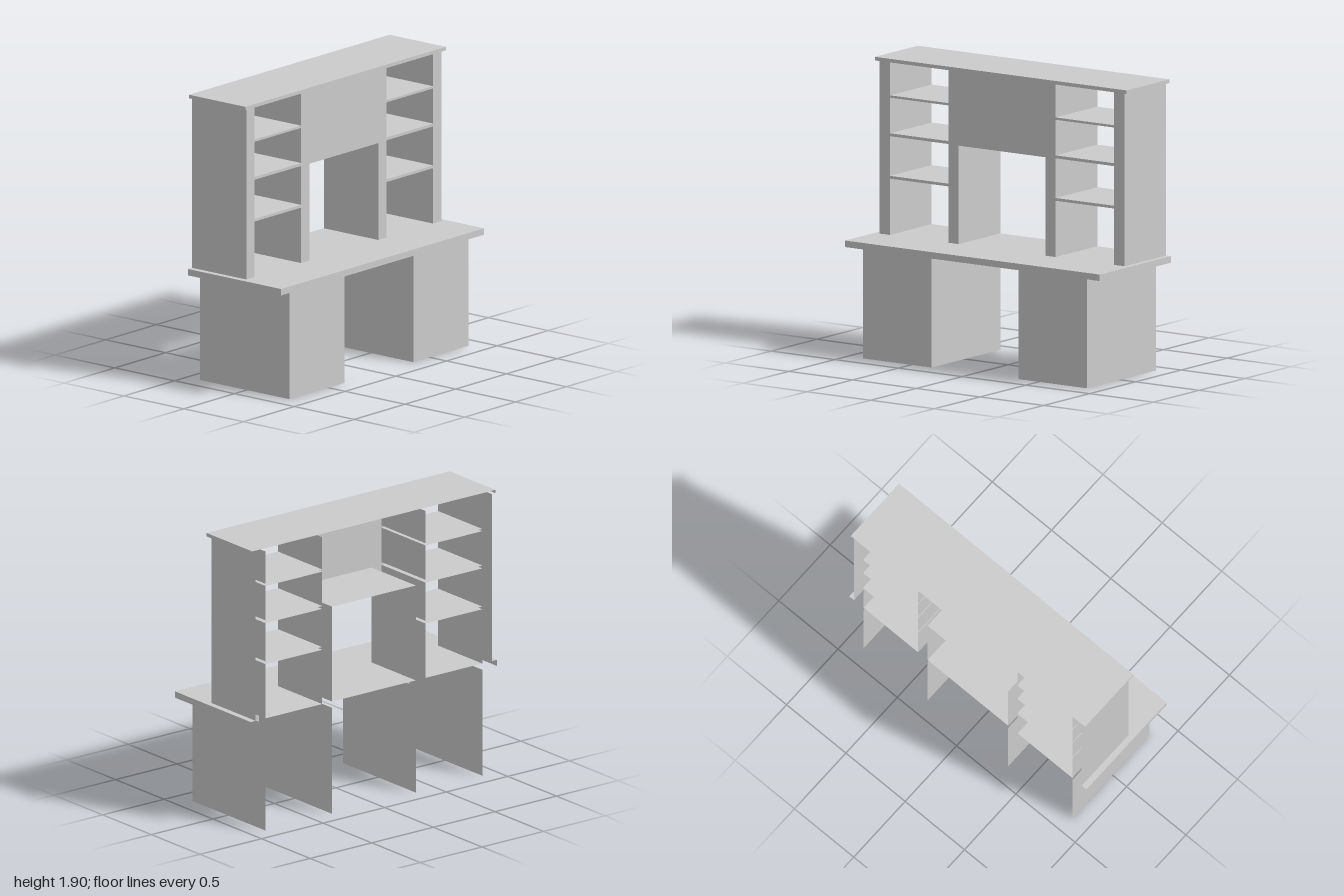
import * as THREE from 'three';

const material = new THREE.MeshStandardMaterial({ color: 0xcccccc, side: THREE.DoubleSide });
const BACK = -0.39, FACE = 0.065;            // open back plane, hutch front plane

// Thin rectangular panel spanning two ranges; the third axis has a single value
function panel(parent, name, x, y, z) {
  const flat = [x, y, z].findIndex((r) => !Array.isArray(r));
  const mid = (r) => (Array.isArray(r) ? (r[0] + r[1]) / 2 : r);
  const len = (r) => Math.abs(r[1] - r[0]);
  let geo;
  if (flat === 0) geo = new THREE.PlaneGeometry(len(z), len(y)).rotateY(Math.PI / 2);
  else if (flat === 1) geo = new THREE.PlaneGeometry(len(x), len(z)).rotateX(-Math.PI / 2);
  else geo = new THREE.PlaneGeometry(len(x), len(y));
  const mesh = new THREE.Mesh(geo, material);
  mesh.name = name;
  mesh.position.set(mid(x), mid(y), mid(z));
  parent.add(mesh);
}

function group(parent, name) {
  const g = new THREE.Group();
  g.name = name;
  parent.add(g);
  return g;
}

// Board edge: front strip and both ends, open at the back
function rim(parent, name, hx, y, front) {
  panel(parent, name + 'Front', [-hx, hx], y, front);
  for (const s of [-1, 1]) panel(parent, name + 'End', s * hx, y, [BACK, front]);
}

export function createModel() {
  const model = new THREE.Group();
  model.name = 'deskWithHutch';

  const deskY = 0.755, underY = 0.713, capY = 1.877, topY = 1.9, cabinetY = 1.393;
  const shelves = [[1.12, 1.138], [1.395, 1.414], [1.645, 1.66]];

  // Desk top, with openings where the hollow posts stand
  const desk = group(model, 'deskTop');
  rim(desk, 'deskEdge', 1, [underY, deskY], 0.39);
  panel(desk, 'deskSurface', [-1, 1], deskY, [FACE, 0.39]);
  panel(desk, 'deskSurface', [-0.34, 0.34], deskY, [BACK, FACE]);

  // Cap board
  const cap = group(model, 'capBoard');
  rim(cap, 'capEdge', 0.988, [capY, topY], 0.08);
  panel(cap, 'capSurface', [-0.988, 0.988], topY, [BACK, 0.08]);

  // Centre cabinet
  const cabinet = group(model, 'centreCabinet');
  panel(cabinet, 'cabinetFront', [-0.42, 0.42], [cabinetY, capY], FACE);
  panel(cabinet, 'cabinetBottom', [-0.34, 0.34], cabinetY, [BACK, FACE]);

  for (const s of [-1, 1]) {
    const side = group(model, s > 0 ? 'leftSide' : 'rightSide');
    const span = (a, b) => [s * a, s * b];

    // Desk surface beside and between the posts
    panel(side, 'deskSurface', span(0.42, 0.88), deskY, [BACK, FACE]);
    panel(side, 'deskSurface', span(0.96, 1), deskY, [BACK, FACE]);

    // Pedestal: front and two sides
    panel(side, 'pedestalFront', span(0.34, 0.88), [0, underY], 0.36);
    for (const x of [0.34, 0.88]) panel(side, 'pedestalSide', s * x, [0, underY], [BACK, 0.36]);

    // Hollow posts
    panel(side, 'outerPostFront', span(0.88, 0.96), [deskY, capY], FACE);
    panel(side, 'outerPostSide', s * 0.96, [deskY, capY], [BACK, FACE]);
    panel(side, 'innerPostFront', span(0.34, 0.42), [deskY, cabinetY], FACE);
    panel(side, 'innerPostSide', s * 0.34, [deskY, cabinetY], [BACK, FACE]);

    // Bay walls, interrupted by the hollow shelves
    const levels = [deskY, ...shelves.flat(), capY];
    for (let i = 0; i < levels.length; i += 2) {
      for (const x of [0.42, 0.88]) panel(side, 'bayWall', s * x, [levels[i], levels[i + 1]], [BACK, FACE]);
    }

    // Shelves: top, bottom and front edge
    for (const [low, high] of shelves) {
      for (const y of [low, high]) panel(side, 'shelfFace', span(0.42, 0.88), y, [BACK, FACE]);
      panel(side, 'shelfEdge', span(0.42, 0.88), [low, high], FACE);
    }
  }
  return model;
}
